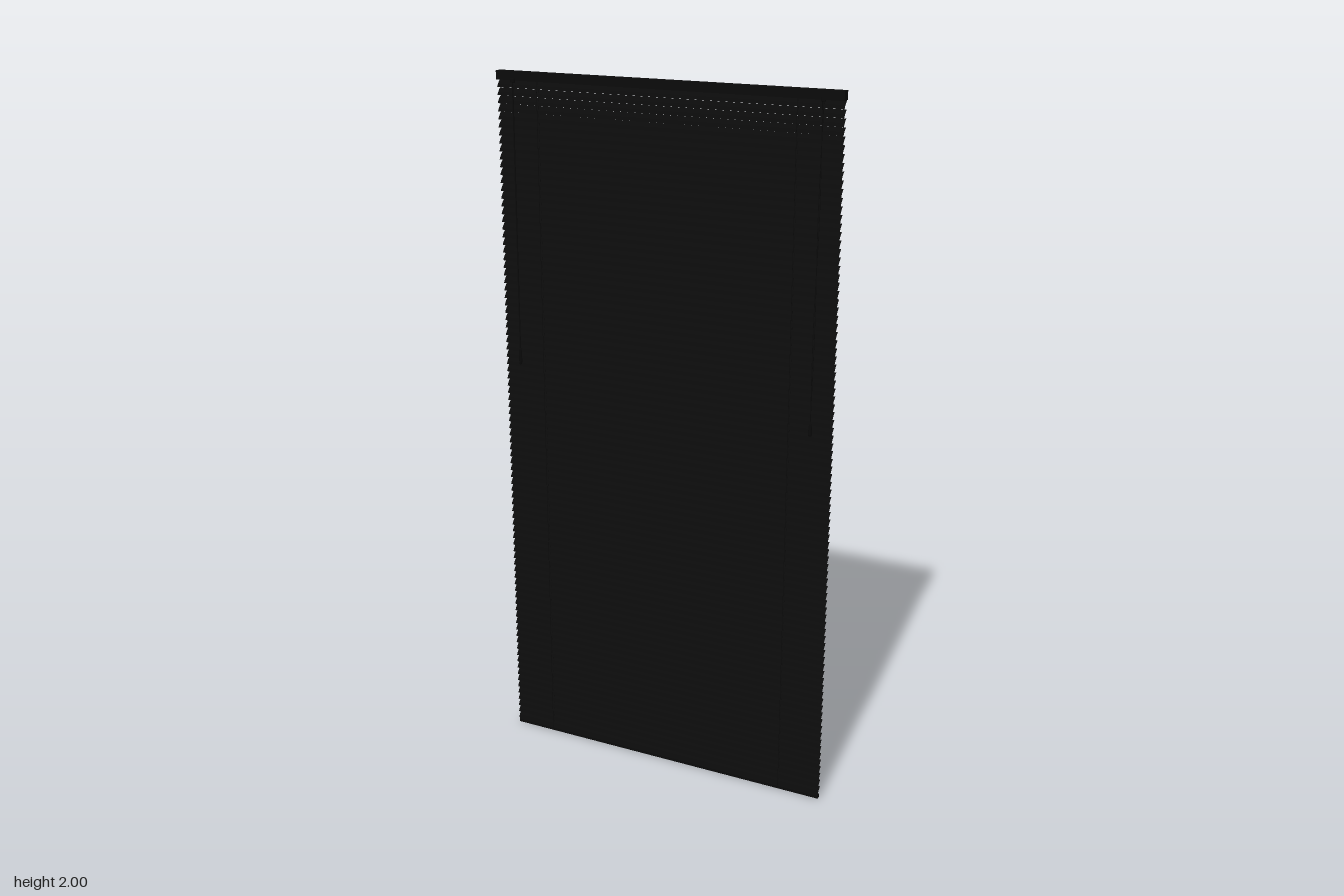
import * as THREE from 'three';
import { RoundedBoxGeometry } from 'three/addons/geometries/RoundedBoxGeometry.js';

const Z = -0.0095;      // depth of the slat plane
const SLATS = 90, PITCH = 0.0218, FIRST = 0.0251;

export function createModel() {
  const group = new THREE.Group();
  const black = new THREE.MeshStandardMaterial({ color: 0x0a0a0a });
  const thin = new THREE.MeshStandardMaterial({ color: 0x0a0a0a, side: THREE.DoubleSide });

  function add(name, geometry, x = 0, y = 0, z = 0, material = black, parent = group) {
    const mesh = new THREE.Mesh(geometry, material);
    mesh.name = name;
    mesh.position.set(x, y, z);
    parent.add(mesh);
    return mesh;
  }
  function cord(name, points, radius, segments = 12) {
    const curve = new THREE.CatmullRomCurve3(points.map(p => new THREE.Vector3(...p)));
    return add(name, new THREE.TubeGeometry(curve, segments, radius, 6), 0, 0, 0);
  }
  function turned(name, profile, x, y, z) {
    const pts = profile.map(([r, h]) => new THREE.Vector2(r, h));
    return add(name, new THREE.LatheGeometry(pts, 12), x, y, z);
  }

  // Head rail: folded channel with end caps
  const s = new THREE.Shape();
  [[-0.011, 0], [0.011, 0], [0.011, 0.024], [0.008, 0.024], [0.008, 0.0225], [0.0095, 0.0225],
    [0.0095, 0.0015], [-0.0095, 0.0015], [-0.0095, 0.0225], [-0.008, 0.0225], [-0.008, 0.024], [-0.011, 0.024]]
    .forEach(([x, y], i) => (i ? s.lineTo(x, y) : s.moveTo(x, y)));
  const rail = new THREE.ExtrudeGeometry(s, { depth: 0.996, bevelEnabled: false });
  rail.translate(0, 0, -0.498).rotateY(Math.PI / 2);
  add('headRail', rail, 0, 1.976, Z);
  add('headRailCover', new THREE.BoxGeometry(0.996, 0.001, 0.019), 0, 1.9985, Z);
  for (const side of [-1, 1]) {
    add('endCap', new RoundedBoxGeometry(0.003, 0.024, 0.0225, 1, 0.0005), side * 0.4985, 1.988, Z);
  }

  // Slats: crowned strips, front edge low and back edge high
  const slat = new THREE.PlaneGeometry(0.998, 0.0249, 1, 6);
  const p = slat.attributes.position;
  for (let i = 0; i < p.count; i++) {
    const t = p.getY(i) / 0.01245;
    p.setZ(i, 0.0016 * (1 - t * t));
  }
  slat.rotateX(-Math.atan2(0.0159, 0.0192));
  slat.computeVertexNormals();
  const slats = new THREE.Group();
  slats.name = 'slats';
  group.add(slats);
  for (let i = 0; i < SLATS; i++) add('slat', slat, 0, FIRST + i * PITCH, Z, thin, slats);

  // Bottom rail
  add('bottomRail', new RoundedBoxGeometry(0.998, 0.012, 0.014, 2, 0.003), 0, 0.006, Z);

  // Ladder strings and lift cord at each side, with plugs under the bottom rail
  for (const x of [-0.375, 0.375]) {
    for (const dz of [-0.0088, 0, 0.0088]) {
      const string = new THREE.CylinderGeometry(0.0007, 0.0007, 1.97, 6);
      add(dz ? 'ladderString' : 'liftCord', string, x, 0.993, Z + dz);
    }
    add('cordPlug', new THREE.CylinderGeometry(0.004, 0.004, 0.002, 12), x, 0.001, Z);
  }

  // Tilt wand with hook and grip
  const wx = -0.447;
  add('tilterHousing', new RoundedBoxGeometry(0.012, 0.012, 0.008, 1, 0.001), wx, 1.976, 0.002);
  cord('wandHook', [[wx, 1.975, 0.002], [wx, 1.965, 0.004], [wx, 1.955, 0.003]], 0.0015);
  cord('tiltWand', [[wx, 1.957, 0.003], [wx, 1.22, 0.006]], 0.0022, 1);
  turned('wandGrip', [[0, 0], [0.0035, 0.002], [0.0045, 0.012], [0.0035, 0.045], [0.0022, 0.05], [0, 0.05]],
    wx, 1.178, 0.006);

  // Pull cords meeting at a tassel
  const cx = 0.444;
  add('cordLock', new RoundedBoxGeometry(0.012, 0.01, 0.006, 1, 0.001), cx, 1.977, -0.001);
  for (const d of [-1, 1]) {
    cord('pullCord', [[cx + d * 0.002, 1.977, 0.001], [cx - d * 0.002, 1.7, 0.004],
      [cx + d * 0.002, 1.4, 0.011], [cx, 1.138, 0.015]], 0.0009, 24);
  }
  turned('cordTassel', [[0, 0], [0.0045, 0], [0.0055, 0.004], [0.0045, 0.025], [0.002, 0.036], [0, 0.036]],
    cx, 1.104, 0.015);

  return group;
}
